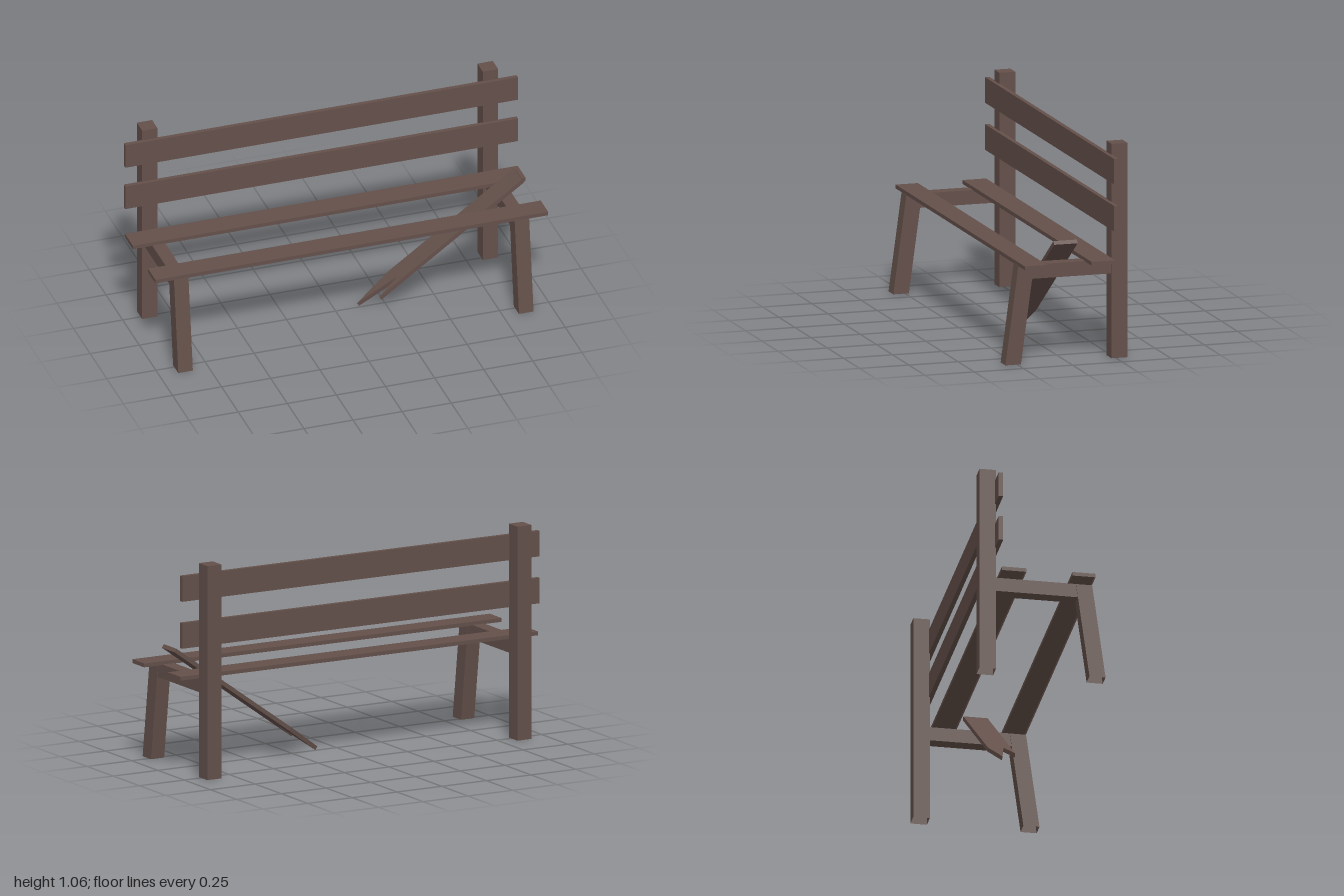
import * as THREE from 'three';

const wood = new THREE.MeshStandardMaterial({ color: 0x64504a, side: THREE.DoubleSide });
wood.name = 'weathered brown wood';

// Box given by its min and max corners; "open" leaves out the underside
function board(name, min, max, open = false) {
  const size = max.map((v, i) => v - min[i]);
  const geo = new THREE.BoxGeometry(...size);
  if (open) {
    const index = Array.from(geo.index.array);
    index.splice(18, 6);
    geo.setIndex(index);
    geo.clearGroups();
  }
  geo.translate(...max.map((v, i) => (v + min[i]) / 2));
  const mesh = new THREE.Mesh(geo, wood);
  mesh.name = name;
  return mesh;
}

// Front leg: a post sheared so that its top leans back
function slantedLeg(x, half) {
  const top = 0.485, lean = 0.066;
  const mesh = board('frontLeg', [x - half, 0, 0.231], [x + half, top, 0.31], true);
  const p = mesh.geometry.attributes.position;
  for (let i = 0; i < p.count; i++) p.setZ(i, p.getZ(i) - lean * p.getY(i) / top);
  mesh.geometry.computeVertexNormals();
  return mesh;
}

// Snapped plank with a splintered lower end, leaning through the seat
function brokenPlank() {
  const thickness = 0.02;
  const outline = new THREE.Shape([
    [1, -0.046], [1, 0.073], [0.107, 0.073], [0.235, 0.035], [0, -0.006], [0.21, -0.046],
  ].map(([u, v]) => new THREE.Vector2(u, v)));
  const geo = new THREE.ExtrudeGeometry(outline, { depth: thickness, bevelEnabled: false });
  geo.rotateX(Math.PI / 2).translate(0, thickness, 0);
  const mesh = new THREE.Mesh(geo, wood);
  mesh.name = 'brokenPlank';
  mesh.rotation.z = THREE.MathUtils.degToRad(35.6);
  mesh.position.set(0.122, 0.003, 0);
  return mesh;
}

export function createModel() {
  const bench = new THREE.Group();
  bench.name = 'brokenBench';

  // End frames: back post, slanted front leg and the rail between them
  for (const x of [-0.869, 0.866]) {
    const frame = new THREE.Group();
    frame.name = x < 0 ? 'rightFrame' : 'leftFrame';
    frame.add(
      board('backPost', [x - 0.039, 0, -0.309], [x + 0.039, 1.057, -0.228], true),
      slantedLeg(x, 0.037),
      board('seatRail', [x - 0.033, 0.417, -0.23], [x + 0.033, 0.487, 0.18]),
    );
    bench.add(frame);
  }

  // Two remaining seat slats
  for (const [z0, z1] of [[0.13, 0.243], [-0.216, -0.096]])
    bench.add(board('seatSlat', [-1, 0.484, z0], [1, 0.503, z1], true));

  // Two backrest slats
  for (const y of [0.645, 0.877])
    bench.add(board('backSlat', [-1, y, -0.232], [1, y + 0.126, -0.21]));

  bench.add(brokenPlank());
  return bench;
}
